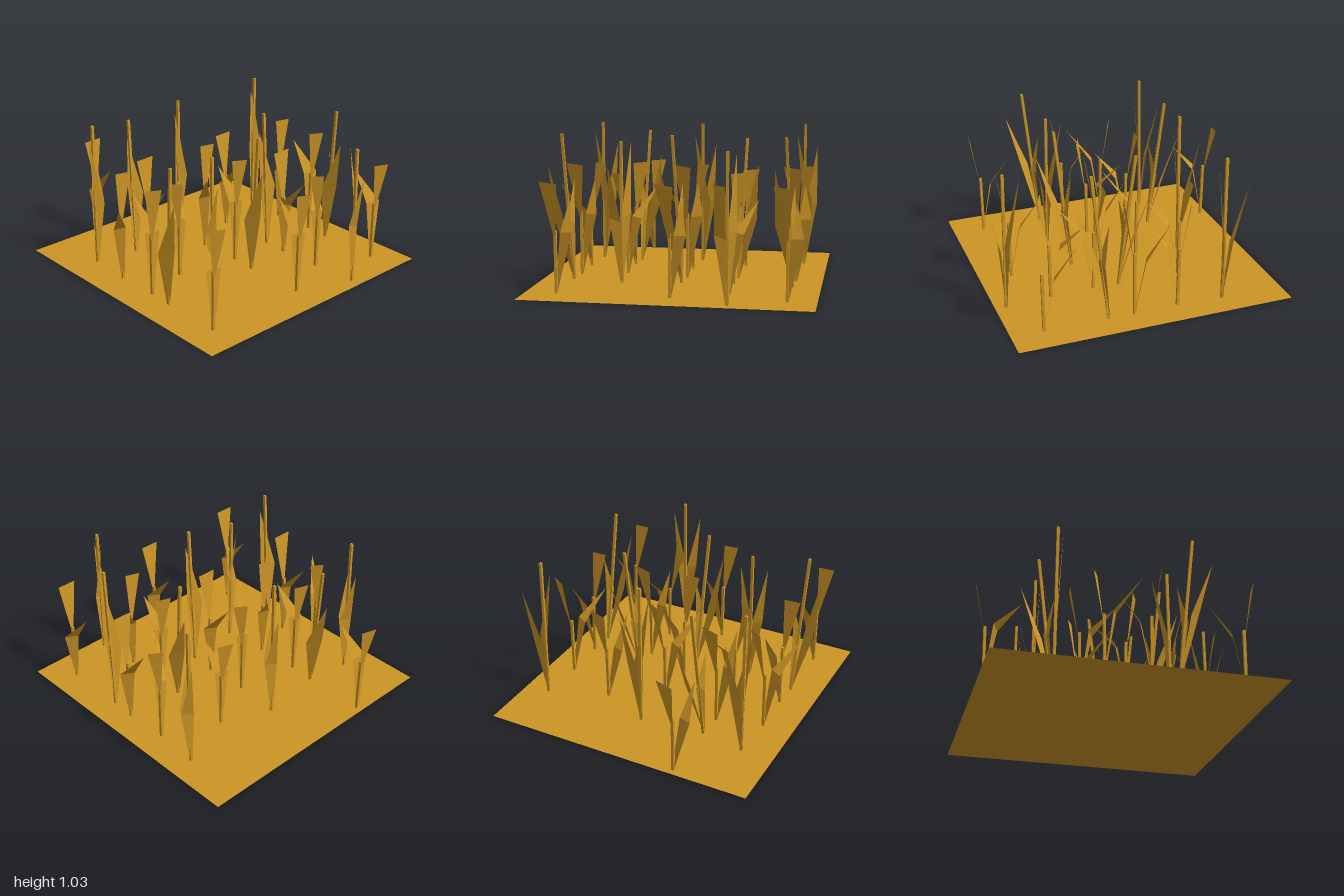
import * as THREE from 'three';

const straw = new THREE.MeshStandardMaterial({ color: 0xcc9526, side: THREE.DoubleSide });
straw.name = 'straw gold';
straw.flatShading = true;

// Plants of one row: base position, stem top, and leaves given relative to the base.
// A pointed leaf is [edge, edge, tip]; a blunt leaf is [corner, corner].
const wideLeaf = [[-0.035, 0.40, -0.10], [-0.075, 0.39, -0.01], [-0.225, 0.60, -0.04]];
const bluntLeaf = [[0.08, 0.73, -0.034], [0.06, 0.745, 0.088]];
const slimPlant = {
  x: -0.52, z: -0.03, stem: [0.01, 1.03, 0],
  leaves: [
    [[-0.015, 0.45, -0.09], [-0.035, 0.42, 0], [-0.116, 0.86, -0.083]],
    [[0.03, 0.45, -0.06], [0.01, 0.43, 0.01], [0.035, 0.96, 0.055]],
  ],
};
const slimPlantTurned = {
  x: -0.52, z: 0.016, stem: [0.01, 1.02, 0],
  leaves: [
    [[-0.02, 0.47, -0.08], [-0.02, 0.44, 0], [-0.118, 0.86, -0.065]],
    [[0.025, 0.5, 0.06], [0, 0.47, 0], [0.11, 1.0, 0.045]],
  ],
};
const otherPlants = [
  {
    x: -0.2, z: -0.01, stem: [-0.005, 0.42, 0],
    leaves: [
      [[0.07, 0.42, 0.015], [0.035, 0.41, 0.09], [0.21, 0.63, 0.17]],
      [[-0.07, 0.75, -0.02], [-0.025, 0.76, -0.11]],
    ],
  },
  { x: 0.11, z: -0.02, stem: [0.005, 0.42, 0], grow: 1.07, leaves: [wideLeaf, bluntLeaf] },
  {
    x: 0.29, z: -0.01, stem: [0.1, 1.02, 0.045],
    leaves: [
      [[0.125, 0.46, 0.04], [0.05, 0.43, 0.12], [0.21, 0.82, 0.11]],
      [[0.03, 0.4, -0.02], [0.06, 0.42, 0.03], [0.0, 0.69, -0.01]],
    ],
  },
  { x: 0.735, z: -0.01, stem: [0.005, 0.42, 0], leaves: [wideLeaf, bluntLeaf] },
];

function surface(name, points, index) {
  const geometry = new THREE.BufferGeometry();
  geometry.setAttribute('position', new THREE.Float32BufferAttribute(points.flat(), 3));
  geometry.setIndex(index);
  geometry.computeVertexNormals();
  const mesh = new THREE.Mesh(geometry, straw);
  mesh.name = name;
  return mesh;
}

// Leaf rising from the base, widest at the bend and ending in a point
function pointedLeaf([a, b, tip]) {
  const dir = new THREE.Vector3(b[0] - a[0], 0, b[2] - a[2]).normalize().multiplyScalar(0.011);
  const base = [[-dir.x, 0.01, -dir.z], [dir.x, 0.01, dir.z]];
  return surface('pointedLeaf', [...base, a, b, tip], [0, 1, 3, 0, 3, 2, 2, 3, 4]);
}

// Fan-shaped leaf with a cut end, starting at the stem top
function cutLeaf([a, b], stem) {
  const start = [stem[0], stem[1] - 0.08, stem[2]];
  return surface('cutLeaf', [start, a, b], [0, 1, 2]);
}

// Thin square stem leaning towards its top
function makeStem(top) {
  const geometry = new THREE.CylinderGeometry(0.013, 0.013, 1, 4, 1);
  geometry.rotateY(Math.PI / 4);
  geometry.translate(0, 0.5, 0);
  const p = geometry.attributes.position;
  for (let i = 0; i < p.count; i++) {
    const t = p.getY(i);
    p.setXYZ(i, p.getX(i) + top[0] * t, top[1] * t, p.getZ(i) + top[2] * t);
  }
  geometry.computeVertexNormals();
  const mesh = new THREE.Mesh(geometry, straw);
  mesh.name = 'stem';
  return mesh;
}

function makePlant({ x, z, stem, leaves, grow = 1 }) {
  const plant = new THREE.Group();
  plant.name = 'plant';
  plant.add(makeStem(stem));
  for (const leaf of leaves) {
    plant.add(leaf.length === 3 ? pointedLeaf(leaf) : cutLeaf(leaf, stem));
  }
  plant.position.set(x, 0, z);
  plant.scale.y = grow;
  return plant;
}

export function createModel() {
  const model = new THREE.Group();
  model.name = 'cropField';

  // Flat square of soil
  const ground = new THREE.Mesh(new THREE.PlaneGeometry(1.92, 1.92), straw);
  ground.rotation.x = -Math.PI / 2;
  ground.name = 'ground';
  model.add(ground);

  // Five rows; every second one is turned round and slightly shorter
  const rows = [
    { x: 0, z: -0.758 },
    { x: 0.363, z: -0.385, turned: true },
    { x: 0, z: 0 },
    { x: -0.177, z: 0.412, turned: true },
    { x: 0, z: 0.757 },
  ];
  for (const { x, z, turned } of rows) {
    const row = new THREE.Group();
    row.name = 'plantRow';
    for (const plant of [turned ? slimPlantTurned : slimPlant, ...otherPlants]) {
      row.add(makePlant(plant));
    }
    row.position.set(x, 0, z);
    if (turned) {
      row.rotation.y = Math.PI;
      row.scale.y = 0.95;
    }
    model.add(row);
  }
  return model;
}
